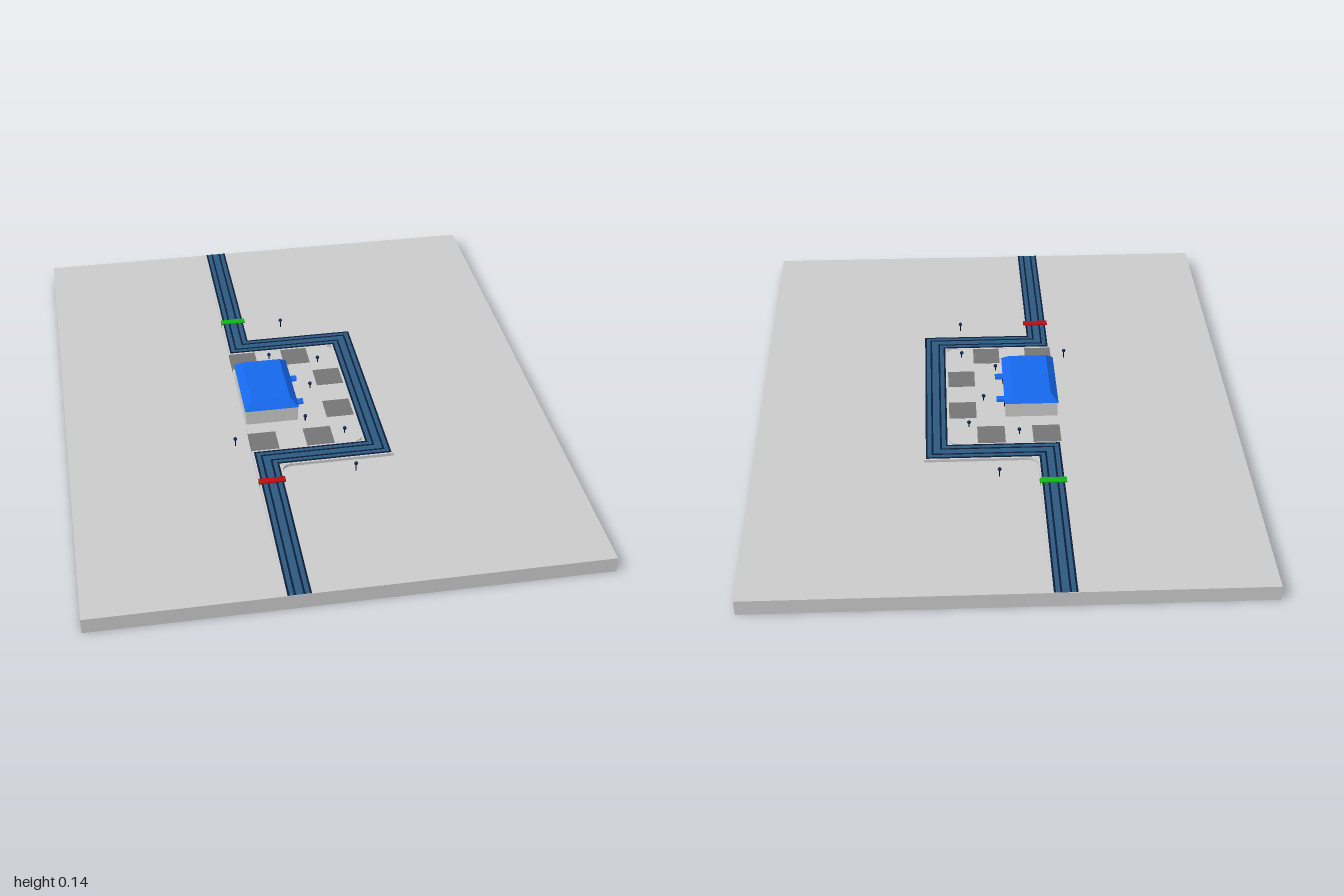
import * as THREE from 'three';

const mat = (color, extra = {}) => new THREE.MeshStandardMaterial({ color, flatShading: true, ...extra });
const GREY = mat(0xcccccc), PAD = mat(0x757575), BLUE = mat(0x1668ee, { side: THREE.DoubleSide });
const WATER = mat(0x2c5a80), NAVY = mat(0x0c1c38), BLACK = mat(0x0a0a0a);
const GREEN = mat(0x10b810), RED = mat(0xb81010);

const SLAB = 0.051, DECK = 0.0605;

function add(parent, name, geometry, material, x = 0, y = 0, z = 0) {
  const m = new THREE.Mesh(geometry, material);
  m.name = name;
  m.position.set(x, y, z);
  parent.add(m);
  return m;
}

// box given by its limits on each axis
function block(parent, name, material, x0, x1, y0, y1, z0, z1) {
  return add(parent, name, new THREE.BoxGeometry(x1 - x0, y1 - y0, z1 - z0), material,
    (x0 + x1) / 2, (y0 + y1) / 2, (z0 + z1) / 2);
}

// route of the channel: x, z, top height
const ROUTE = [
  [-0.165, -1, 0.0515], [-0.165, -0.93, 0.052], [-0.165, -0.6, 0.061], [-0.165, -0.31, 0.061],
  [0.205, -0.31, 0.061], [0.205, 0.352, 0.061],
  [-0.165, 0.352, 0.061], [-0.165, 0.6, 0.061], [-0.165, 0.93, 0.052], [-0.165, 1, 0.0515],
];

// mitred rectangular strip along the route, between two side offsets
function strip(o0, o1, lift) {
  const pos = [], idx = [];
  ROUTE.forEach(([x, z, h], i) => {
    const dir = (a, b) => new THREE.Vector2(b[0] - a[0], b[1] - a[1]).normalize();
    const after = i < ROUTE.length - 1 ? dir(ROUTE[i], ROUTE[i + 1]) : null;
    const before = i > 0 ? dir(ROUTE[i - 1], ROUTE[i]) : after;
    const d1 = before, d2 = after || before;
    const n1 = new THREE.Vector2(d1.y, -d1.x), n2 = new THREE.Vector2(d2.y, -d2.x);
    const miter = n1.clone().add(n2).divideScalar(1 + n1.dot(n2));
    for (const [o, y] of [[o0, 0.045], [o0, h + lift], [o1, h + lift], [o1, 0.045]])
      pos.push(x + miter.x * o, y, z + miter.y * o);
  });
  for (let i = 0; i < ROUTE.length - 1; i++)
    for (let k = 0; k < 3; k++) {
      const a = i * 4 + k, b = a + 4;
      idx.push(a, b, b + 1, a, b + 1, a + 1);
    }
  const g = new THREE.BufferGeometry();
  g.setAttribute('position', new THREE.Float32BufferAttribute(pos, 3));
  g.setIndex(idx);
  const flat = g.toNonIndexed();
  flat.computeVertexNormals();
  return flat;
}

// courtyard deck with two rounded corners
function deckGeometry() {
  const x0 = -0.206, x1 = 0.165, a = -0.31, b = 0.268, r = 0.035;
  const s = new THREE.Shape();
  s.moveTo(x0, a);
  s.lineTo(x1 - r, a);
  s.absarc(x1 - r, a + r, r, -Math.PI / 2, 0);
  s.lineTo(x1, b - r);
  s.absarc(x1 - r, b - r, r, 0, Math.PI / 2);
  s.lineTo(x0, b);
  const g = new THREE.ExtrudeGeometry(s, { depth: DECK - 0.045, bevelEnabled: false, curveSegments: 8 });
  return g.rotateX(-Math.PI / 2);
}

// hipped roof: a box whose top corners are drawn in
function roofGeometry(w, h, d, inset) {
  const g = new THREE.BoxGeometry(w, h, d), p = g.attributes.position;
  for (let i = 0; i < p.count; i++)
    if (p.getY(i) > 0) {
      p.setX(i, Math.sign(p.getX(i)) * (w / 2 - inset));
      p.setZ(i, Math.sign(p.getZ(i)) * (d / 2 - inset));
    }
  g.computeVertexNormals();
  return g;
}

function archGeometry(r, h, depth) {
  const s = new THREE.Shape();
  s.moveTo(-r, 0);
  s.lineTo(r, 0);
  s.lineTo(r, h);
  s.absarc(0, h, r, 0, Math.PI);
  return new THREE.ExtrudeGeometry(s, { depth, bevelEnabled: false, curveSegments: 6 }).rotateY(Math.PI / 2);
}

export function createModel() {
  const model = new THREE.Group();
  model.name = 'site';

  block(model, 'groundSlab', GREY, -0.8, 0.8, 0, SLAB, -1, 1);
  add(model, 'courtyardDeck', deckGeometry(), GREY, 0, 0.045, 0);

  // channel: kerbs, surface and dark lines
  const channel = new THREE.Group();
  channel.name = 'channel';
  model.add(channel);
  add(channel, 'kerb', strip(-0.0425, 0.0425, 0), GREY);
  add(channel, 'channelSurface', strip(-0.034, 0.034, 0.0008), WATER);
  for (const o of [-0.033, -0.014, 0.014, 0.033])
    add(channel, 'channelLine', strip(o - 0.003, o + 0.003, 0.0014), NAVY);

  // fillets where the bend meets the straight runs
  for (const [z, s] of [[-0.3525, -1], [0.3945, 1]]) {
    const f = new THREE.Shape();
    f.moveTo(0, 0);
    f.lineTo(0.035, 0);
    f.quadraticCurveTo(0, 0, 0, 0.035);
    const g = new THREE.ExtrudeGeometry(f, { depth: 0.012, bevelEnabled: false, curveSegments: 6 });
    g.rotateX(s < 0 ? -Math.PI / 2 : Math.PI / 2);
    add(model, 'cornerFillet', g, GREY, -0.1225, s < 0 ? 0.048 : 0.06, z);
  }

  // dark square pads around the courtyard
  for (const [x, z] of [[-0.161, -0.219], [0.023, -0.219], [0.115, -0.075], [0.115, 0.115], [-0.161, 0.26], [0.023, 0.26]])
    block(model, 'pad', PAD, x - 0.046, x + 0.046, 0.05, DECK + 0.0006, z - 0.047, z + 0.047);

  // gates across the channel
  block(model, 'greenGate', GREEN, -0.208, -0.122, 0.05, 0.066, -0.49, -0.466);
  block(model, 'redGate', RED, -0.208, -0.122, 0.05, 0.066, 0.461, 0.485);

  // building with hipped roof
  const house = new THREE.Group();
  house.name = 'building';
  model.add(house);
  block(house, 'walls', GREY, -0.204, -0.029, 0.05, 0.114, -0.118, 0.16);
  add(house, 'roof', roofGeometry(0.181, 0.025, 0.284, 0.026), BLUE, -0.1165, 0.1265, 0.021);

  // arched doors under half-round canopies
  for (const z of [-0.048, 0.09]) {
    add(house, 'door', archGeometry(0.01, 0.02, 0.003), BLACK, -0.03, DECK, z);
    const canopy = new THREE.CylinderGeometry(0.013, 0.013, 0.028, 8, 1, true, 0, Math.PI);
    canopy.rotateZ(Math.PI / 2).rotateX(0);
    const p = canopy.attributes.position;
    for (let i = 0; i < p.count; i++) p.setY(i, Math.abs(p.getY(i)));
    canopy.computeVertexNormals();
    add(house, 'canopy', canopy, BLUE, -0.015, DECK + 0.021, z);
  }

  // lamp posts
  const post = new THREE.CylinderGeometry(0.002, 0.002, 0.03, 6);
  const head = new THREE.SphereGeometry(0.0065, 8, 6);
  for (const [x, z] of [[0.005, -0.435], [-0.07, -0.218], [0.096, -0.172], [0.042, -0.018],
    [-0.006, 0.168], [-0.254, 0.257], [0.111, 0.257], [0.111, 0.45]]) {
    const lamp = new THREE.Group();
    lamp.name = 'lampPost';
    lamp.position.set(x, SLAB, z);
    add(lamp, 'post', post, BLACK, 0, 0.015, 0);
    add(lamp, 'lampHead', head, mat(0x14285a), 0, 0.028, 0);
    model.add(lamp);
  }
  return model;
}
